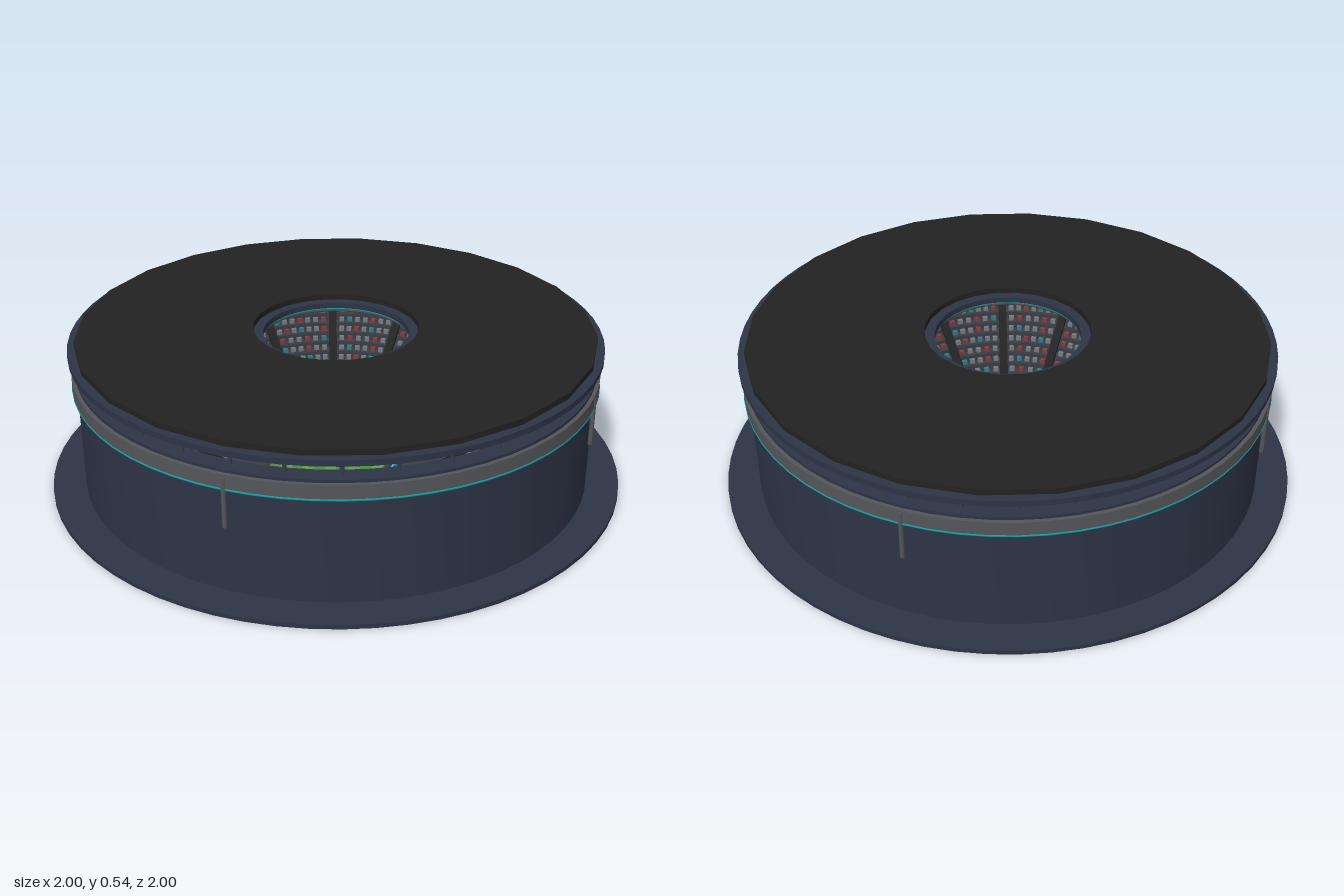
import * as THREE from 'three';
import { mergeGeometries, toCreasedNormals } from 'three/addons/utils/BufferGeometryUtils.js';

const C = {
  navy: 0x2d3446, black: 0x222222, grey: 0x55565a, dark: 0x3a3d45,
  cyan: 0x16a3a3, yellow: 0xd8c51c, white: 0xe8e8e8, grassA: 0x4a8f3f, grassB: 0x5ca04c,
};
const mats = {};
const mat = (color) => (mats[color] ??= new THREE.MeshStandardMaterial({ color, side: THREE.DoubleSide }));

export function createModel() {
  const model = new THREE.Group();
  const add = (name, geo, color) => {
    const mesh = new THREE.Mesh(geo, mat(color));
    mesh.name = name;
    model.add(mesh);
    return mesh;
  };
  const lathe = (pts, seg) => toCreasedNormals(
    new THREE.LatheGeometry(pts.map(([r, y]) => new THREE.Vector2(r, y)), seg), 0.5);
  // Solid ring with a rectangular section
  const ring = (name, r0, r1, y0, y1, color, seg = 64) =>
    add(name, lathe([[r0, y0], [r1, y0], [r1, y1], [r0, y1], [r0, y0]], seg), color);
  const box = (w, h, d, x, y, z) => new THREE.BoxGeometry(w, h, d).translate(x, y, z);
  const hoop = (name, r, tube, y, color) =>
    add(name, new THREE.TorusGeometry(r, tube, 6, 64).rotateX(Math.PI / 2).translate(0, y, 0), color);
  // Copies of a geometry (made facing +z) spread around the y axis
  const around = (n, make) => mergeGeometries(
    Array.from({ length: n }, (_, i) => make(i).rotateY((i / n) * Math.PI * 2)));

  // Ground plate and outer shell
  add('groundPlate', new THREE.CylinderGeometry(1, 1, 0.015, 64).translate(0, 0.0075, 0), C.navy);
  ring('outerWall', 0.87, 0.887, 0.015, 0.38, C.navy);
  ring('facadeBand', 0.87, 0.903, 0.38, 0.43, C.grey);
  ring('upperRim', 0.83, 0.89, 0.43, 0.44, C.navy);
  hoop('facadeLightStrip', 0.9, 0.005, 0.38, C.cyan);
  add('facadePosts', around(4, () =>
    new THREE.CylinderGeometry(0.008, 0.008, 0.17, 8).translate(0, 0.335, 0.9)), C.grey);

  // Roof carried on a ring of columns
  add('roofColumns', around(32, () =>
    new THREE.CylinderGeometry(0.007, 0.007, 0.06, 8).translate(0, 0.467, 0.85)), C.dark);
  ring('roofSlab', 0.25, 0.91, 0.495, 0.515, C.navy);
  ring('roofCover', 0.285, 0.887, 0.515, 0.535, C.black, 24);
  hoop('roofOpeningRing', 0.268, 0.008, 0.483, C.grey);
  hoop('roofLightStrip', 0.256, 0.004, 0.492, C.cyan);

  // Stepped stands
  const rows = 14, rIn = 0.38, rOut = 0.85, yIn = 0.06, yOut = 0.42;
  const dr = (rOut - rIn) / rows, dy = (yOut - yIn) / rows;
  const steps = [[rIn, 0.015]];
  for (let i = 0; i < rows; i++) {
    const y = yIn + i * dy;
    steps.push([rIn + i * dr, y], [rIn + (i + 1) * dr, y]);
  }
  steps.push([0.87, yOut]);
  add('stands', lathe(steps.reverse(), 64), C.dark);

  // Seats in blocks between the aisles, in mixed colours
  const aisles = 16, seatColors = [0x777a80, 0x8a3a3c, 0x2c7f86];
  const seats = seatColors.map(() => []);
  for (let i = 0; i < rows; i++) {
    const r = rIn + (i + 0.6) * dr, perBlock = Math.floor((r * 0.34) / 0.03);
    for (let b = 0; b < aisles; b++) {
      for (let s = 0; s < perBlock; s++) {
        const a = ((b + 0.08 + 0.84 * (s + 0.5) / perBlock) / aisles) * Math.PI * 2;
        const pick = (i * 7 + b * 5 + s * 3) % 8;
        seats[pick < 5 ? 0 : pick < 7 ? 1 : 2].push(
          box(0.018, 0.016, 0.014, 0, yIn + i * dy + 0.008, r).rotateY(a));
      }
    }
  }
  seats.forEach((list, i) => add('seats' + (i + 1), mergeGeometries(list), seatColors[i]));

  // Sloping aisles
  const slope = Math.atan2(yOut - yIn, rOut - rIn);
  add('aisles', around(aisles, () => new THREE.BoxGeometry(0.03, 0.012, 0.58)
    .rotateX(-slope).translate(0, (yIn + yOut) / 2 + 0.005, (rIn + rOut) / 2)), C.black);
  hoop('standLightStrip', 0.84, 0.004, 0.432, C.cyan);

  // Striped pitch on its surround
  add('pitchSurround', new THREE.CylinderGeometry(rIn, rIn, 0.008, 64).translate(0, 0.019, 0), C.dark);
  const stripes = 10, sw = 0.38 / stripes;
  [C.grassA, C.grassB].forEach((color, k) => {
    const list = [];
    for (let i = k; i < stripes; i += 2) list.push(box(sw, 0.008, 0.56, -0.19 + (i + 0.5) * sw, 0.026, 0));
    add(k ? 'lightGrass' : 'darkGrass', mergeGeometries(list), color);
  });

  // Pitch markings
  const t = 0.003, y = 0.031;
  const lines = [
    box(0.36, 0.002, t, 0, y, 0),
    new THREE.RingGeometry(0.054, 0.057, 40).rotateX(-Math.PI / 2).translate(0, y + 0.001, 0),
  ];
  for (const s of [-1, 1]) {
    lines.push(box(0.2, 0.002, t, 0, y, s * 0.18), box(0.2, 0.002, t, 0, y, s * 0.235));
    for (const x of [-0.1, 0.1]) lines.push(box(t, 0.002, 0.055, x, y, s * 0.2075));
  }
  add('pitchLines', mergeGeometries(lines), 0xa9cfa0);

  // Side boards
  add('rightBoard', box(0.006, 0.03, 0.2, -0.23, 0.038, 0), C.white);
  add('leftBoard', box(0.006, 0.03, 0.2, 0.23, 0.038, 0), 0x45b8e0);

  // Small pennants at the top of the stands
  const pennant = new THREE.Shape([[-0.014, 0.42], [0.014, 0.42], [0, 0.465]].map(p => new THREE.Vector2(...p)));
  [C.yellow, C.yellow, C.cyan, C.cyan].forEach((color, i) => {
    const geo = new THREE.ExtrudeGeometry(pennant, { depth: 0.003, bevelEnabled: false });
    add('pennant' + (i + 1), geo.translate(0, 0, 0.78).rotateY((i * Math.PI) / 2), color);
  });

  return model;
}
